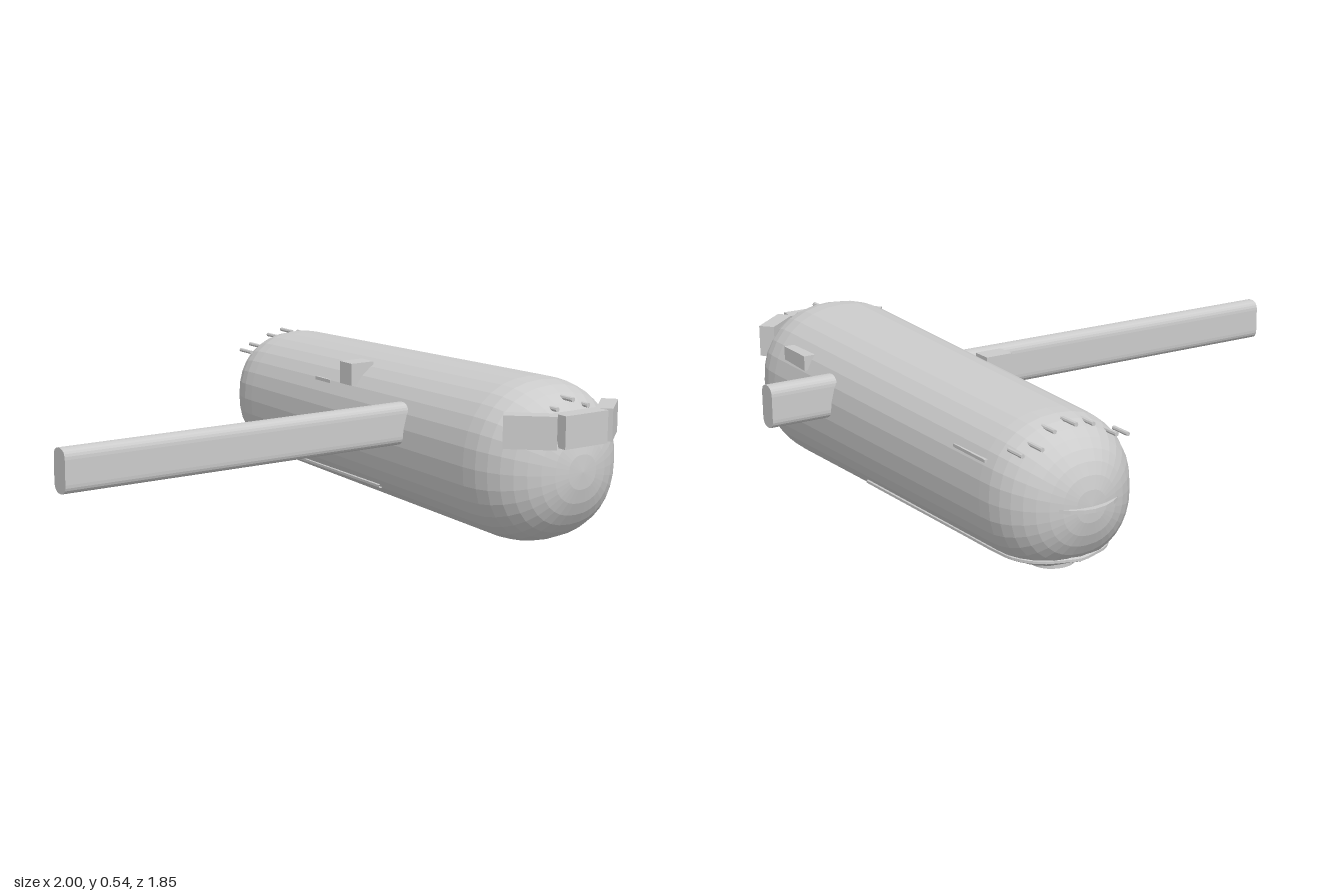
import * as THREE from 'three';

const CX = 0.53, CY = 0.274, N = 2.25;
const FRONT = { z: 0.64, r: 0.272 }, BACK = { z: -0.67, r: 0.24 };
const material = new THREE.MeshStandardMaterial({ color: 0xcccccc, flatShading: true, side: THREE.DoubleSide });
const sup = (t) => Math.sign(t) * Math.pow(Math.abs(t), 2 / N);

// Hull radius at a given z
function radiusAt(z) {
  const end = z > FRONT.z ? FRONT : z < BACK.z ? BACK : null;
  if (end) return end.r * Math.pow(Math.max(0, 1 - Math.pow(Math.abs(z - end.z) / end.r, N)), 1 / N);
  return THREE.MathUtils.lerp(BACK.r, FRONT.r, (z - BACK.z) / (FRONT.z - BACK.z));
}

// Half width of the hull at a height and z
function halfWidth(y, z) {
  const r = radiusAt(z), d = Math.abs(y - CY);
  return d >= r ? 0 : Math.pow(Math.pow(r, N) - Math.pow(d, N), 1 / N);
}

export function createModel() {
  const model = new THREE.Group();
  function add(name, geometry, x = 0, y = 0, z = 0) {
    const mesh = new THREE.Mesh(geometry, material);
    mesh.name = name;
    mesh.position.set(x, y, z);
    model.add(mesh);
    return mesh;
  }

  // Tapered hull with softly squared round ends
  const profile = [], steps = 9;
  for (let i = 0; i <= steps; i++) {
    const a = (i / steps) * Math.PI / 2;
    profile.push(new THREE.Vector2(BACK.r * sup(Math.sin(a)), BACK.z - BACK.r * sup(Math.cos(a))));
  }
  for (let i = 0; i <= steps; i++) {
    const a = (i / steps) * Math.PI / 2;
    profile.push(new THREE.Vector2(FRONT.r * sup(Math.cos(a)), FRONT.z + FRONT.r * sup(Math.sin(a))));
  }
  const hull = new THREE.LatheGeometry(profile, 32).rotateX(Math.PI / 2);
  const p = hull.attributes.position;
  for (let i = 0; i < p.count; i++) {
    const x = p.getX(i), y = p.getY(i), r = Math.hypot(x, y);
    if (r > 1e-6) p.setXY(i, r * sup(x / r), r * sup(y / r));
  }
  hull.computeVertexNormals();
  add('hull', hull, CX, CY, 0);

  // Cross bar, long on one side and short on the other
  const w = 0.036, h = 0.072, c = 0.033;
  const section = new THREE.Shape();
  section.moveTo(-w, -h + c);
  section.quadraticCurveTo(-w, -h, 0, -h);
  section.quadraticCurveTo(w, -h, w, -h + c);
  section.lineTo(w, h - c);
  section.quadraticCurveTo(w, h, 0, h);
  section.quadraticCurveTo(-w, h, -w, h - c);
  section.closePath();
  for (const [name, x0, x1] of [['longBar', -1, 0.29], ['shortBar', 0.765, 1]]) {
    const bar = new THREE.ExtrudeGeometry(section, { depth: x1 - x0, bevelEnabled: false, curveSegments: 6 });
    add(name, bar.rotateY(Math.PI / 2), x0, 0.352, 0.27);
  }

  // Three window plates around the nose
  add('centerWindow', new THREE.BoxGeometry(0.178, 0.108, 0.06), CX, 0.414, 0.893);
  for (const s of [-1, 1]) {
    const plate = add('sideWindow', new THREE.BoxGeometry(0.17, 0.108, 0.055), CX + s * 0.162, 0.414, 0.838);
    plate.rotation.y = s * 0.73;
  }

  // Small pegs above the windows
  for (const [dx, y] of [[-0.065, 0.475], [0, 0.5], [0.065, 0.475]]) {
    add('nosePeg', new THREE.CylinderGeometry(0.008, 0.008, 0.07, 8).rotateX(Math.PI / 2), CX + dx, y, 0.82);
  }

  // Row of pins over the tail
  for (const [dx, y, z] of [[0, 0.503, -0.79], [0.068, 0.49, -0.78], [0.13, 0.455, -0.81], [0.185, 0.44, -0.79]]) {
    for (const s of dx ? [-1, 1] : [1]) {
      add('tailPin', new THREE.CylinderGeometry(0.007, 0.007, 0.075, 8).rotateX(Math.PI / 2), CX + s * dx, y, z);
    }
  }

  // Thin curved lip across the tail
  const lip = new THREE.CylinderGeometry(1, 1, 0.012, 32);
  lip.scale(0.2, 1, 0.255);
  const lp = lip.attributes.position;
  for (let i = 0; i < lp.count; i++) lp.setY(i, lp.getY(i) + 0.6 * lp.getX(i) ** 2);
  lip.computeVertexNormals();
  add('tailLip', lip, CX, 0.268, -0.675);

  // U-shaped rim under the rear half
  const side = [], RIM_Y = 0.092;
  for (const z of [0.1, -0.1, -0.3, -0.5, -0.67, -0.73, -0.78, -0.815, -0.835]) {
    side.push(new THREE.Vector3(halfWidth(RIM_Y, z) + 0.002, 0, z));
  }
  const rim = [...side, new THREE.Vector3(0, 0, -0.852),
    ...side.slice().reverse().map((v) => new THREE.Vector3(-v.x, 0, v.z))];
  add('bellyRim', new THREE.TubeGeometry(new THREE.CatmullRomCurve3(rim), 80, 0.008, 6), CX, RIM_Y, 0);

  // Round pad under the tail
  add('bellyPad', new THREE.CylinderGeometry(0.07, 0.07, 0.03, 24), CX, 0.05, -0.695);

  // Wedge-shaped scoop on the upper shoulder
  const scoop = new THREE.Shape([[0.295, 0.508], [0.295, 0.43], [0.39, 0.43], [0.39, 0.508]]
    .map(([x, y]) => new THREE.Vector2(x, y)));
  add('shoulderScoop', new THREE.ExtrudeGeometry(scoop, { depth: 0.07, bevelEnabled: false }), 0, 0, -0.1);

  // Slanted side box near the front
  const box = new THREE.BoxGeometry(0.06, 0.046, 0.15);
  const bp = box.attributes.position;
  for (let i = 0; i < bp.count; i++) {
    if (bp.getY(i) < 0 && bp.getZ(i) < 0) bp.setY(i, bp.getY(i) - 0.005);
  }
  box.computeVertexNormals();
  add('sideBox', box, 0.755, 0.425, 0.505);

  // Thin strips let into the flanks
  add('flankStrip', new THREE.BoxGeometry(0.02, 0.01, 0.18), CX + halfWidth(0.39, -0.59) - 0.006, 0.39, -0.59);
  add('flankStrip', new THREE.BoxGeometry(0.02, 0.012, 0.09), CX - halfWidth(0.42, -0.23) + 0.006, 0.42, -0.23);

  return model;
}
